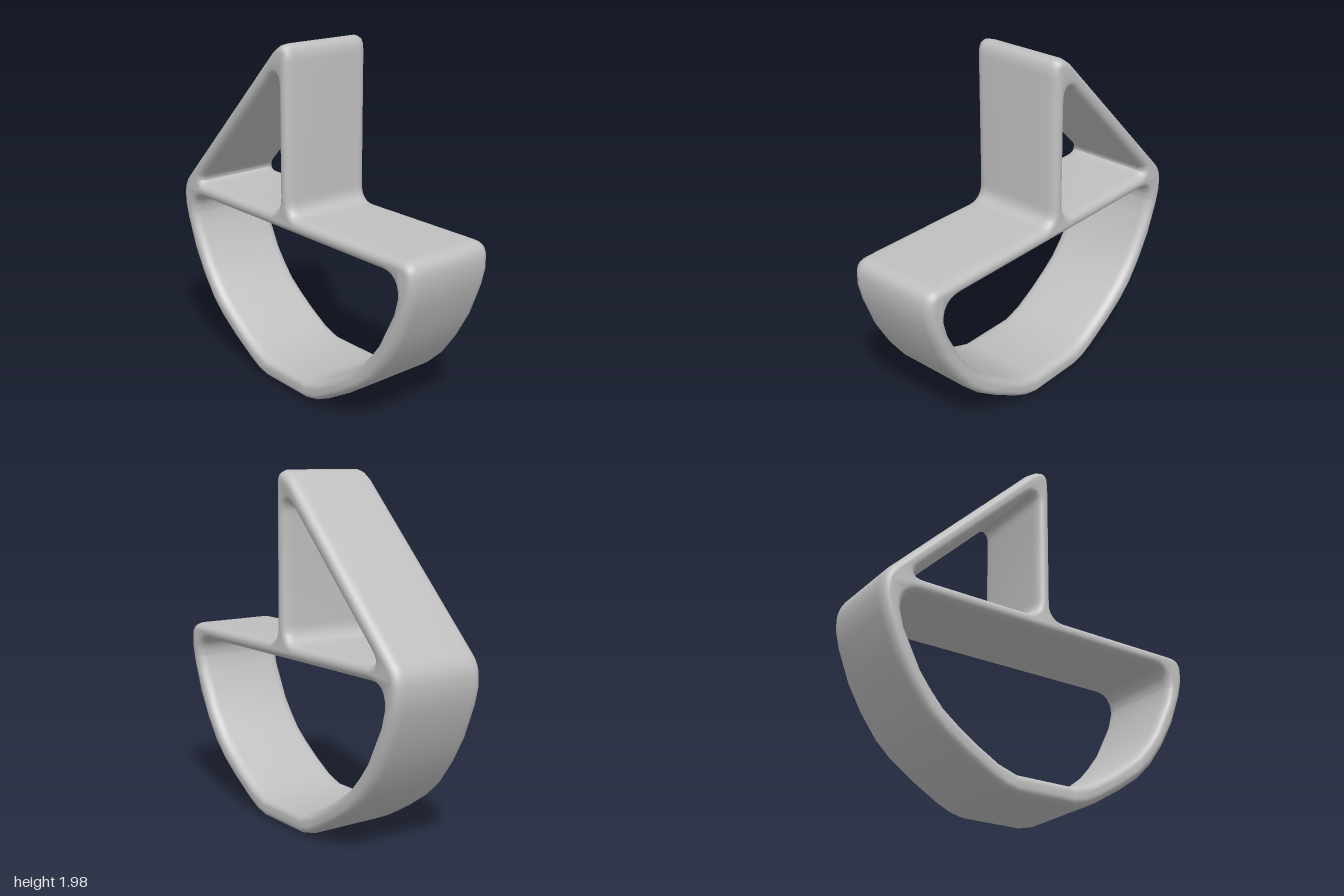
import * as THREE from 'three';
import { toCreasedNormals } from 'three/addons/utils/BufferGeometryUtils.js';

const HALF_DEPTH = 0.283;
const BEVEL = 0.04; // edge rounding across the frame
const BEVEL_Z = 0.062; // edge rounding along the depth

// Closed outline from clockwise corners [x, y, r]; r > 0 rounds that corner with a fillet.
function outline(corners) {
  const n = corners.length;
  const points = [];
  corners.forEach(([x, y, r = 0], i) => {
    const p = new THREE.Vector2(x, y);
    if (!r) return points.push(p);
    const towards = (c) => new THREE.Vector2(c[0], c[1]).sub(p).setLength(r).add(p);
    const a = towards(corners[(i + n - 1) % n]);
    const b = towards(corners[(i + 1) % n]);
    points.push(...new THREE.QuadraticBezierCurve(a, p, b).getPoints(6));
  });
  return points;
}

// Half a hull curve, running from the right side down to the keel, mirrored to the left.
function hullCurve(half) {
  return [...half, ...half.map(([x, y]) => [-x, y]).reverse()];
}

export function createModel() {
  const group = new THREE.Group();
  group.name = 'sailboat';
  const grey = new THREE.MeshStandardMaterial({ color: 0xbfbfbf });
  grey.name = 'grey plastic';

  // Outer silhouette: deck end, hull, sail edge, rounded mast tip, mast foot.
  // Reversed to run anticlockwise, so the bevels of the openings face the right way.
  const silhouette = new THREE.Shape(outline([
    [1, 1.047, 0.09],
    ...hullCurve([
      [1, 0.9], [0.976, 0.8], [0.905, 0.615], [0.82, 0.465], [0.725, 0.335],
      [0.63, 0.245], [0.5, 0.155], [0.34, 0.06], [0.26, 0.022], [0.18, 0.003],
    ]),
    [-1, 1.025, 0.075],
    [-0.1, 1.94], [-0.05, 1.975], [-0.01, 1.987], [0.02, 1.975], [0.037, 1.945], [0.042, 1.9],
    [0.042, 1.047, 0.09],
  ]).reverse());

  // Opening inside the hull
  const hullOpening = new THREE.Path(outline([
    [0.888, 0.958, 0.11],
    ...hullCurve([
      [0.883, 0.84], [0.86, 0.75], [0.757, 0.545], [0.69, 0.455],
      [0.62, 0.375], [0.53, 0.305], [0.42, 0.23], [0.29, 0.155], [0.18, 0.118],
    ]),
    [-0.888, 0.958, 0.11],
  ]));

  // Triangular opening inside the sail
  const sailOpening = new THREE.Path(outline([
    [-0.85, 1.047, 0.09],
    [-0.044, 1.86, 0.12],
    [-0.044, 1.047, 0.1],
  ]));

  silhouette.holes.push(hullOpening, sailOpening);

  const geometry = new THREE.ExtrudeGeometry(silhouette, {
    depth: 2 * (HALF_DEPTH - BEVEL_Z),
    bevelEnabled: true,
    bevelSize: BEVEL,
    bevelOffset: -BEVEL,
    bevelThickness: BEVEL_Z,
    bevelSegments: 6,
    steps: 1,
  });
  geometry.translate(0, 0, -(HALF_DEPTH - BEVEL_Z));

  const frame = new THREE.Mesh(toCreasedNormals(geometry, 0.7), grey);
  frame.name = 'hullMastAndSailFrame';
  group.add(frame);
  return group;
}
